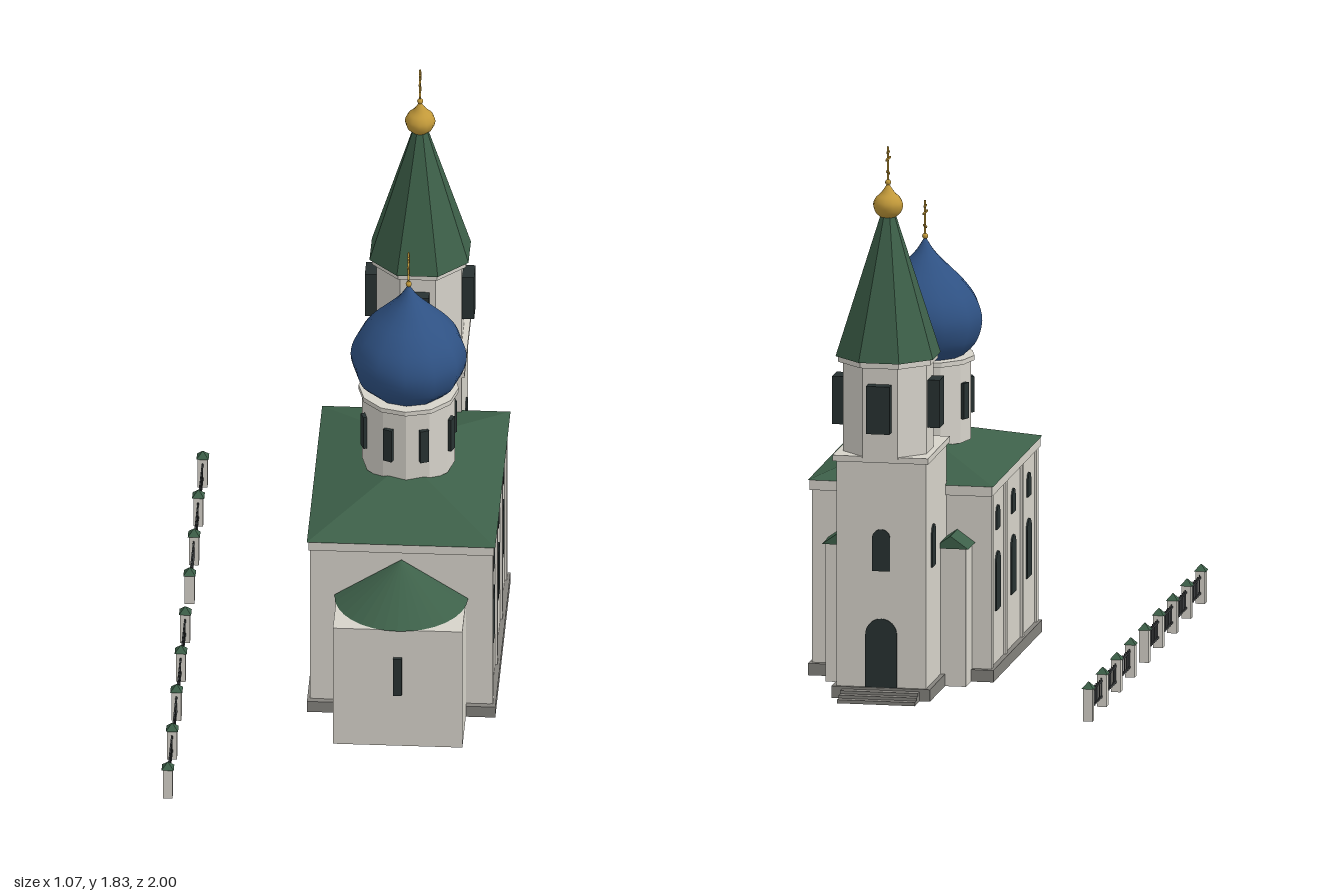
import * as THREE from 'three';

const mat = (name, color) => {
  const m = new THREE.MeshStandardMaterial({ color });
  m.name = name;
  return m;
};

export function createModel() {
  const white = mat('plaster', 0xd6d3ca), green = mat('roofGreen', 0x3d6049);
  const blue = mat('domeBlue', 0x2f5284), gold = mat('gold', 0xc39a3a);
  const dark = mat('darkGlass', 0x283232), stone = mat('plinthStone', 0x84827d);
  const iron = mat('fenceIron', 0x45484a);

  const model = new THREE.Group();
  model.name = 'churchWithFence';
  const church = new THREE.Group();
  church.name = 'church';
  church.position.x = 0.22;
  model.add(church);

  const add = (parent, name, geo, material, x = 0, y = 0, z = 0, ry = 0) => {
    const m = new THREE.Mesh(geo, material);
    m.name = name;
    m.position.set(x, y, z);
    m.rotation.y = ry;
    parent.add(m);
    return m;
  };
  // Box given by its limits
  const block = (parent, name, material, x0, x1, y0, y1, z0, z1) =>
    add(parent, name, new THREE.BoxGeometry(x1 - x0, y1 - y0, z1 - z0), material,
      (x0 + x1) / 2, (y0 + y1) / 2, (z0 + z1) / 2);
  const flat = (geo) => {
    const g = geo.toNonIndexed();
    g.computeVertexNormals();
    return g;
  };
  // Box whose top is narrowed, for hipped, gabled and pyramid roofs
  const taper = (w, d, h, topW, topD) => {
    const g = new THREE.BoxGeometry(w, h, d), p = g.attributes.position;
    for (let i = 0; i < p.count; i++) {
      if (p.getY(i) > 0) p.setXYZ(i, Math.sign(p.getX(i)) * topW / 2, h / 2, Math.sign(p.getZ(i)) * topD / 2);
    }
    g.translate(0, h / 2, 0);
    return flat(g);
  };
  const prism = (rTop, rBottom, h, sides, turn = 0) => {
    const g = new THREE.CylinderGeometry(rTop, rBottom, h, sides);
    g.rotateY(turn);
    g.translate(0, h / 2, 0);
    return flat(g);
  };
  // Arched thin plate, base at y = 0, facing +z
  const arch = (w, h) => {
    const r = w / 2, s = new THREE.Shape();
    s.moveTo(-r, 0);
    s.lineTo(r, 0);
    s.lineTo(r, h - r);
    s.absarc(0, h - r, r, 0, Math.PI, false);
    s.closePath();
    return new THREE.ExtrudeGeometry(s, { depth: 0.008, bevelEnabled: false, curveSegments: 10 });
  };
  const lathe = (pts, sides) => {
    const curve = new THREE.SplineCurve(pts.map(([r, y]) => new THREE.Vector2(r, y)));
    return new THREE.LatheGeometry(curve.getPoints(24), sides);
  };
  // Three-bar cross with its bars along z
  const cross = (name, y, z) => {
    const g = new THREE.Group();
    g.name = name;
    g.position.set(0, y, z);
    church.add(g);
    add(g, 'crossBall', new THREE.SphereGeometry(0.01, 10, 8), gold, 0, 0.01, 0);
    block(g, 'crossPost', gold, -0.003, 0.003, -0.03, 0.13, -0.003, 0.003);
    block(g, 'crossTopBar', gold, -0.003, 0.003, 0.108, 0.114, -0.016, 0.016);
    block(g, 'crossMainBar', gold, -0.003, 0.003, 0.086, 0.092, -0.033, 0.033);
    block(g, 'crossFootBar', gold, -0.003, 0.003, 0.04, 0.046, -0.022, 0.022).rotation.x = 0.35;
  };

  // Main hall
  block(church, 'hallPlinth', stone, -0.31, 0.31, 0, 0.04, -0.425, 0.425);
  block(church, 'hallWalls', white, -0.293, 0.293, 0.04, 0.625, -0.405, 0.405);
  block(church, 'hallCornice', white, -0.305, 0.305, 0.622, 0.656, -0.425, 0.425);
  add(church, 'hallRoof', taper(0.62, 0.86, 0.09, 0.1, 0.25), green, 0, 0.656, 0);
  for (const s of [-1, 1]) {
    for (const z of [-0.39, -0.143, 0.143, 0.39]) {
      block(church, 'pilaster', white, s * 0.295 - 0.006, s * 0.295 + 0.006, 0.04, 0.625, z - 0.014, z + 0.014);
    }
    for (const z of [-0.27, 0, 0.27]) {
      add(church, 'hallWindow', arch(0.08, 0.195), dark, s * 0.29, 0.215, z, s * Math.PI / 2);
      add(church, 'upperWindow', arch(0.056, 0.08), dark, s * 0.29, 0.485, z, s * Math.PI / 2);
    }
  }

  // Apse with half-cone roof
  block(church, 'apseWalls', white, -0.213, 0.213, 0, 0.445, 0.4, 0.62);
  add(church, 'apseRoof', flat(new THREE.ConeGeometry(0.22, 0.142, 16, 1, false, -Math.PI / 2, Math.PI)),
    green, 0, 0.517, 0.41);
  block(church, 'apseWindow', dark, -0.014, 0.014, 0.2, 0.34, 0.615, 0.634);

  // Drum, dome and cross
  add(church, 'drum', prism(0.153, 0.153, 0.27, 12), white, 0, 0.725, 0);
  add(church, 'drumCornice', prism(0.165, 0.165, 0.016, 12), white, 0, 0.99, 0);
  for (let i = 0; i < 8; i++) {
    const a = (i + 0.5) * Math.PI / 4;
    add(church, 'drumWindow', new THREE.BoxGeometry(0.03, 0.12, 0.024), dark,
      0.15 * Math.sin(a), 0.865, 0.15 * Math.cos(a), a);
  }
  add(church, 'dome', lathe([[0.125, 1.004], [0.17, 1.05], [0.191, 1.12], [0.177, 1.185],
    [0.135, 1.245], [0.08, 1.3], [0.032, 1.35], [0.003, 1.395]], 12), blue);
  cross('domeCross', 1.39, 0);

  // Bell tower base, windows, door and steps
  const tz = -0.645;
  block(church, 'towerPlinth', stone, -0.165, 0.165, 0, 0.04, -0.775, -0.42);
  block(church, 'towerBase', white, -0.15, 0.15, 0.04, 0.798, -0.765, -0.406);
  block(church, 'towerBaseCornice', white, -0.16, 0.16, 0.796, 0.816, -0.782, -0.404);
  for (const s of [-1, 1]) {
    add(church, 'towerWindow', arch(0.06, 0.14), dark, s * 0.147, 0.43, tz, s * Math.PI / 2);
  }
  add(church, 'towerWindow', arch(0.06, 0.14), dark, 0, 0.43, -0.762, Math.PI);
  add(church, 'door', arch(0.105, 0.23), dark, 0, 0.04, -0.762, Math.PI);
  for (let i = 0; i < 3; i++) {
    block(church, 'step', stone, -0.13, 0.13, 0, 0.032 - i * 0.01, -0.805 - i * 0.026, -0.77);
  }

  // Belfry, spire and small onion
  const R = 1 / Math.cos(Math.PI / 8), turn = Math.PI / 8;
  add(church, 'belfry', prism(0.14 * R, 0.14 * R, 0.31, 8, turn), white, 0, 0.81, tz);
  add(church, 'belfryCornice', prism(0.155 * R, 0.155 * R, 0.02, 8, turn), white, 0, 1.115, tz);
  for (let i = 0; i < 4; i++) {
    const a = i * Math.PI / 2;
    add(church, 'belfryOpening', new THREE.BoxGeometry(0.078, 0.16, 0.05), dark,
      0.155 * Math.sin(a), 0.98, tz + 0.155 * Math.cos(a), a);
  }
  add(church, 'spire', prism(0.018, 0.163 * R, 0.49, 8, turn), green, 0, 1.134, tz);
  add(church, 'spireOnion', lathe([[0.022, 1.592], [0.042, 1.61], [0.05, 1.635], [0.042, 1.657],
    [0.022, 1.677], [0.003, 1.705]], 12), gold, 0, 0, tz);
  cross('spireCross', 1.7, tz);

  // Small annexes beside the tower
  for (const s of [-1, 1]) {
    block(church, 'annexWalls', white, s * 0.185 - 0.05, s * 0.185 + 0.05, 0, 0.465, -0.515, -0.4);
    add(church, 'annexRoof', taper(0.12, 0.125, 0.042, 0.002, 0.125), green, s * 0.185, 0.463, -0.4625);
  }

  // Fence with a gateway between two posts
  const fence = new THREE.Group();
  fence.name = 'fence';
  fence.position.x = -0.515;
  model.add(fence);
  const gap = 0.245;
  for (let i = -4; i <= 4; i++) {
    const z = i * gap;
    block(fence, 'fencePost', white, -0.016, 0.016, 0, 0.11, z - 0.016, z + 0.016);
    add(fence, 'fencePostCap', taper(0.04, 0.04, 0.022, 0.002, 0.002), green, 0, 0.109, z);
    if (i === 4 || i === -1) continue;
    for (const y of [0.036, 0.088]) {
      block(fence, 'fenceRail', iron, -0.003, 0.003, y - 0.003, y + 0.003, z, z + gap);
    }
    for (let k = 1; k <= 8; k++) {
      const p = z + gap * k / 9;
      block(fence, 'fencePicket', iron, -0.002, 0.002, 0.03, 0.098, p - 0.002, p + 0.002);
    }
  }
  return model;
}
